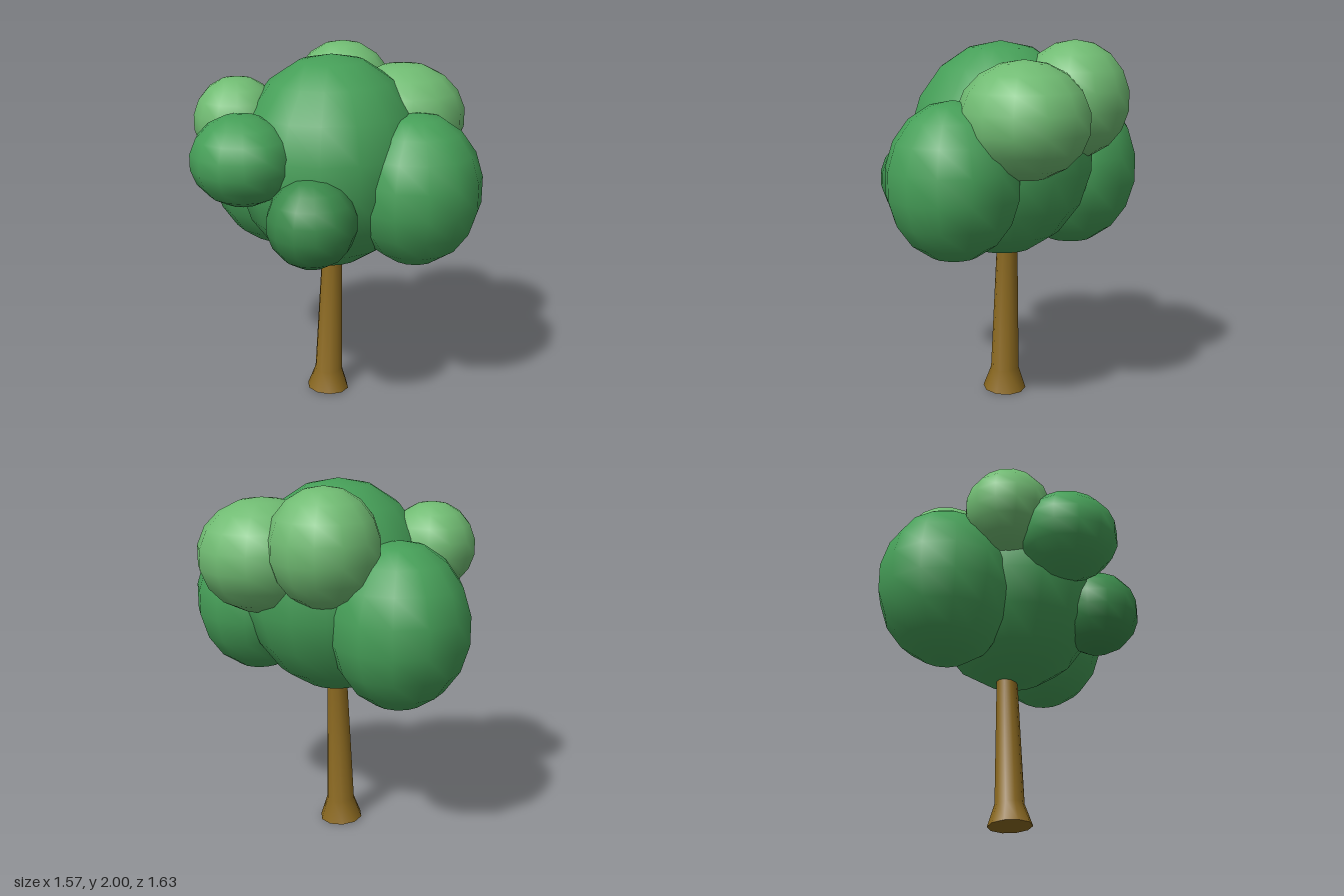
import * as THREE from 'three';
import { toCreasedNormals } from 'three/addons/utils/BufferGeometryUtils.js';

const material = (color) => new THREE.MeshStandardMaterial({ color });

// One leaf clump: a coarse, smooth-shaded sphere stretched to an ellipsoid.
function clump(name, mat, centre, radii, segments = 13, rings = 9) {
  const mesh = new THREE.Mesh(new THREE.SphereGeometry(1, segments, rings), mat);
  mesh.name = name;
  mesh.position.set(...centre);
  mesh.scale.set(...radii);
  return mesh;
}

// Tapered trunk with a flared foot, leaning slightly towards +x.
function makeTrunk() {
  const profile = [[0, 0], [0.122, 0], [0.08, 0.13], [0.059, 0.83], [0.05, 1.1], [0, 1.1]];
  const geometry = new THREE.LatheGeometry(profile.map(([r, y]) => new THREE.Vector2(r, y)), 10);
  const p = geometry.attributes.position;
  for (let i = 0; i < p.count; i++) {
    const y = p.getY(i);
    if (y < 0.05) p.setY(i, 0.008 - p.getX(i) * 0.06); // foot cut at a slight angle
    p.setX(i, p.getX(i) + 0.022 + y * 0.033);
  }
  const trunk = new THREE.Mesh(toCreasedNormals(geometry, 0.8), material(0x8b6920));
  trunk.name = 'trunk';
  trunk.position.z = 0.017;
  return trunk;
}

export function createModel() {
  const tree = new THREE.Group();
  tree.name = 'tree';
  const green = material(0x469f58);
  const dark = material(0x3b8a4b);
  const light = material(0x70bb72);

  const crown = new THREE.Group();
  crown.name = 'crown';
  crown.add(
    // Large core with mid-green clumps around it
    clump('mainFoliage', green, [0.02, 1.405, 0.04], [0.53, 0.585, 0.5], 16, 9),
    clump('frontFoliage', green, [0.255, 1.297, 0.465], [0.36, 0.415, 0.355]),
    clump('backFoliage', green, [0.01, 1.268, -0.44], [0.375, 0.45, 0.385]),
    clump('rightFoliage', green, [-0.53, 1.495, -0.025], [0.268, 0.24, 0.285]),
    clump('lowerFrontFoliage', dark, [-0.363, 1.207, 0.335], [0.235, 0.238, 0.24]),
    // Pale upper clumps
    clump('leftPaleFoliage', light, [0.44, 1.608, 0.16], [0.355, 0.305, 0.345]),
    clump('backLeftPaleFoliage', light, [0.335, 1.688, -0.225], [0.295, 0.312, 0.3]),
    clump('backRightPaleFoliage', light, [-0.355, 1.628, -0.3], [0.24, 0.24, 0.24]),
  );

  tree.add(makeTrunk(), crown);
  return tree;
}
